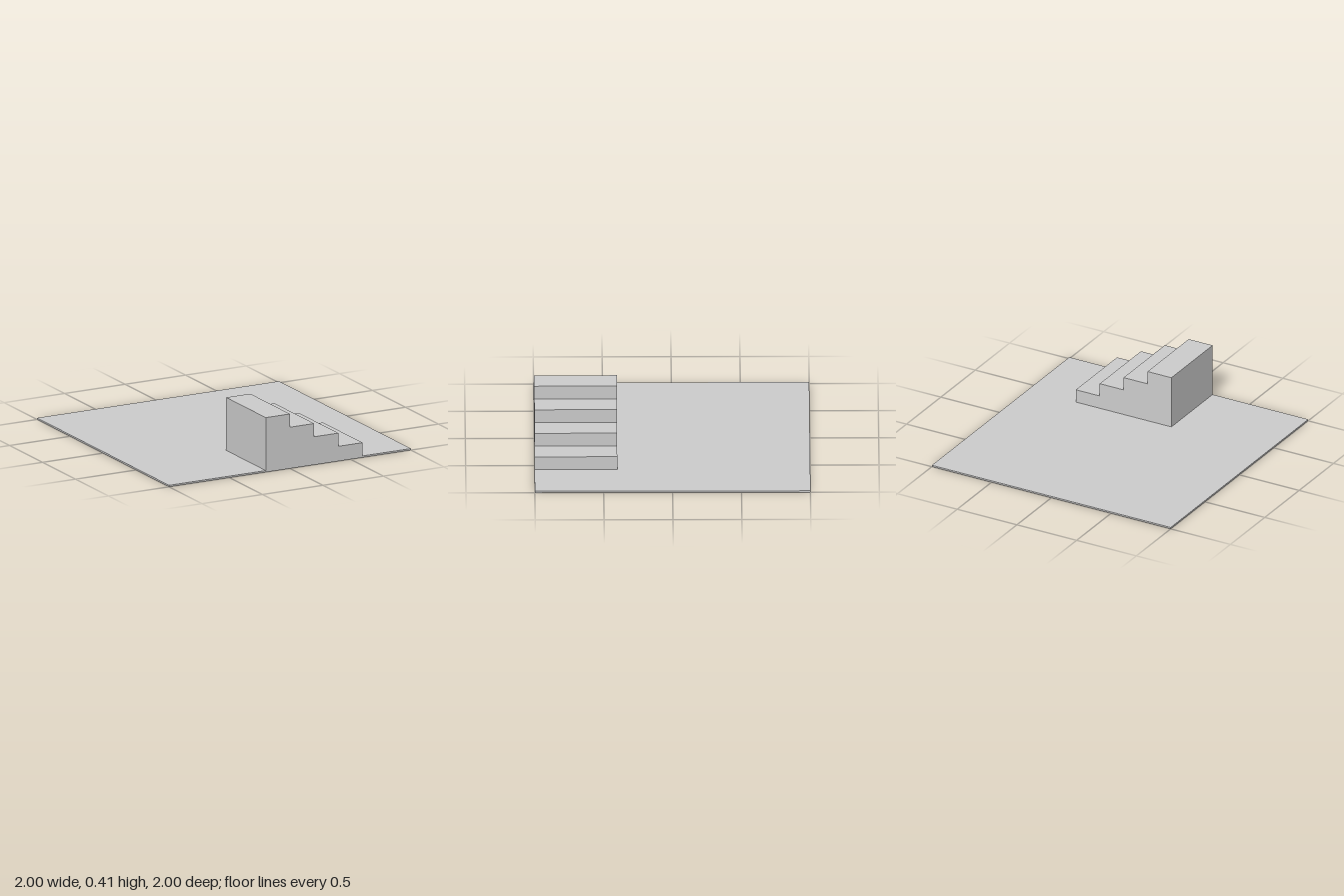
import * as THREE from 'three';

const BASE_H = 0.012;
const STEPS = 4, TREAD = 0.2, RISE = 0.1;
const STAIR_LEFT = -0.2, STAIR_BACK = 0.4, STAIR_DEPTH = 0.6;

export function createModel() {
  const group = new THREE.Group();
  group.name = 'stairsOnFloor';
  const material = new THREE.MeshStandardMaterial({ color: 0xcccccc, flatShading: true });

  // Thin square floor slab
  const floor = new THREE.Mesh(new THREE.BoxGeometry(2, BASE_H, 2), material);
  floor.name = 'floor';
  floor.position.y = BASE_H / 2;
  group.add(floor);

  // Solid staircase: stepped side profile, descending towards +x
  const right = STEPS * TREAD;
  const profile = new THREE.Shape();
  profile.moveTo(0, 0);
  profile.lineTo(right, 0);
  for (let i = 1; i <= STEPS; i++) {
    profile.lineTo(right - (i - 1) * TREAD, i * RISE);
    profile.lineTo(right - i * TREAD, i * RISE);
  }
  profile.closePath();
  const stairs = new THREE.Mesh(
    new THREE.ExtrudeGeometry(profile, { depth: STAIR_DEPTH, bevelEnabled: false }),
    material
  );
  stairs.name = 'staircase';
  stairs.position.set(STAIR_LEFT, BASE_H, STAIR_BACK);
  group.add(stairs);

  return group;
}
